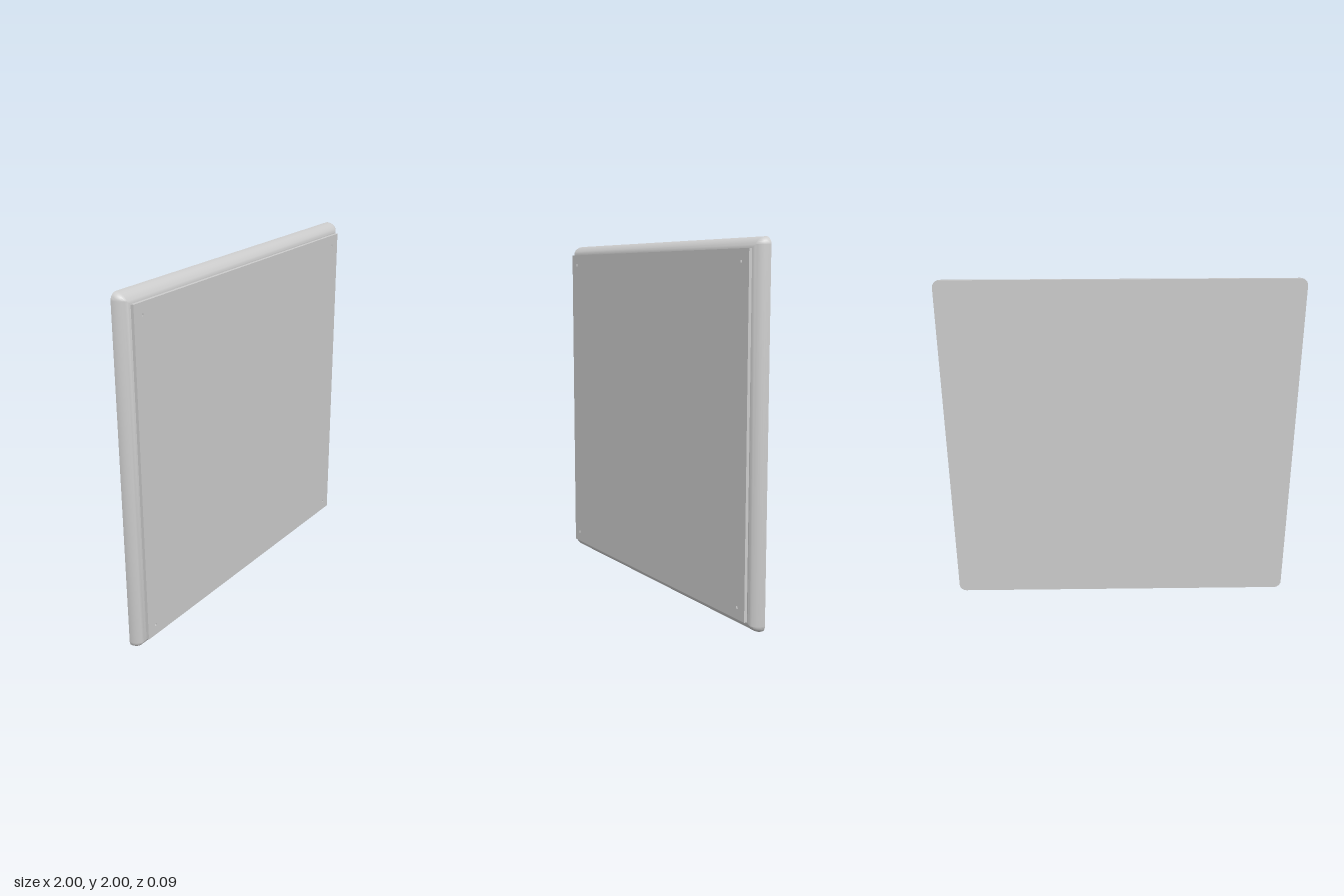
import * as THREE from 'three';
import { toCreasedNormals } from 'three/addons/utils/BufferGeometryUtils.js';

const material = new THREE.MeshStandardMaterial({ color: 0xcccccc });
const BACK = -0.045, BODY_FRONT = 0.03, PLATE_FRONT = 0.045;
const CORNER = 0.04, ARC_STEPS = 6, EDGE_STEPS = 10;

// Rounded square outline, shrunk by inset; corners become mitres once the radius is used up
function outline(inset) {
  const r = Math.max(CORNER - inset, 0);
  const c = 1 - inset - r;
  const points = [];
  for (let k = 0; k < 4; k++) {
    const sx = k === 0 || k === 3 ? 1 : -1;
    const sy = k < 2 ? 1 : -1;
    for (let i = 0; i <= ARC_STEPS; i++) {
      const a = (k + i / ARC_STEPS) * Math.PI / 2;
      points.push([sx * c + r * Math.cos(a), sy * c + r * Math.sin(a)]);
    }
  }
  return points;
}

// Backing panel: flat back, quarter-round edge, flat front
function panelGeometry() {
  const depth = BODY_FRONT - BACK;
  const positions = [], index = [];
  const n = 4 * (ARC_STEPS + 1);
  for (let j = 0; j <= EDGE_STEPS; j++) {
    const a = (j / EDGE_STEPS) * Math.PI / 2;
    const z = BACK + depth * Math.sin(a);
    for (const [x, y] of outline(depth * (1 - Math.cos(a)))) positions.push(x, y, z);
  }
  for (let j = 0; j < EDGE_STEPS; j++) {
    for (let i = 0; i < n; i++) {
      const a = j * n + i, b = j * n + (i + 1) % n;
      index.push(a, b, b + n, a, b + n, a + n);
    }
  }
  // Caps
  const back = positions.length / 3, front = back + 1, last = EDGE_STEPS * n;
  positions.push(0, 0, BACK, 0, 0, BODY_FRONT);
  for (let i = 0; i < n; i++) {
    const k = (i + 1) % n;
    index.push(back, k, i, front, last + i, last + k);
  }
  const geometry = new THREE.BufferGeometry();
  geometry.setAttribute('position', new THREE.Float32BufferAttribute(positions, 3));
  geometry.setIndex(index);
  return toCreasedNormals(geometry, Math.PI / 6);
}

function square(path, x, y, half) {
  path.moveTo(x - half, y - half);
  path.lineTo(x + half, y - half);
  path.lineTo(x + half, y + half);
  path.lineTo(x - half, y + half);
  path.closePath();
  return path;
}

// Front plate with a small fixing hole near each corner
function plateGeometry() {
  const shape = square(new THREE.Shape(), 0, 0, 0.943);
  for (const x of [-0.88, 0.88]) {
    for (const y of [-0.88, 0.88]) shape.holes.push(square(new THREE.Path(), x, y, 0.007));
  }
  const start = BODY_FRONT - 0.006;
  const geometry = new THREE.ExtrudeGeometry(shape, { depth: PLATE_FRONT - start, bevelEnabled: false });
  return geometry.translate(0, 0, start);
}

export function createModel() {
  const group = new THREE.Group();
  group.name = 'wallPanel';
  const add = (name, geometry) => {
    const mesh = new THREE.Mesh(geometry, material);
    mesh.name = name;
    mesh.position.y = 1;
    group.add(mesh);
  };
  add('backingPanel', panelGeometry());
  add('frontPlate', plateGeometry());
  return group;
}
